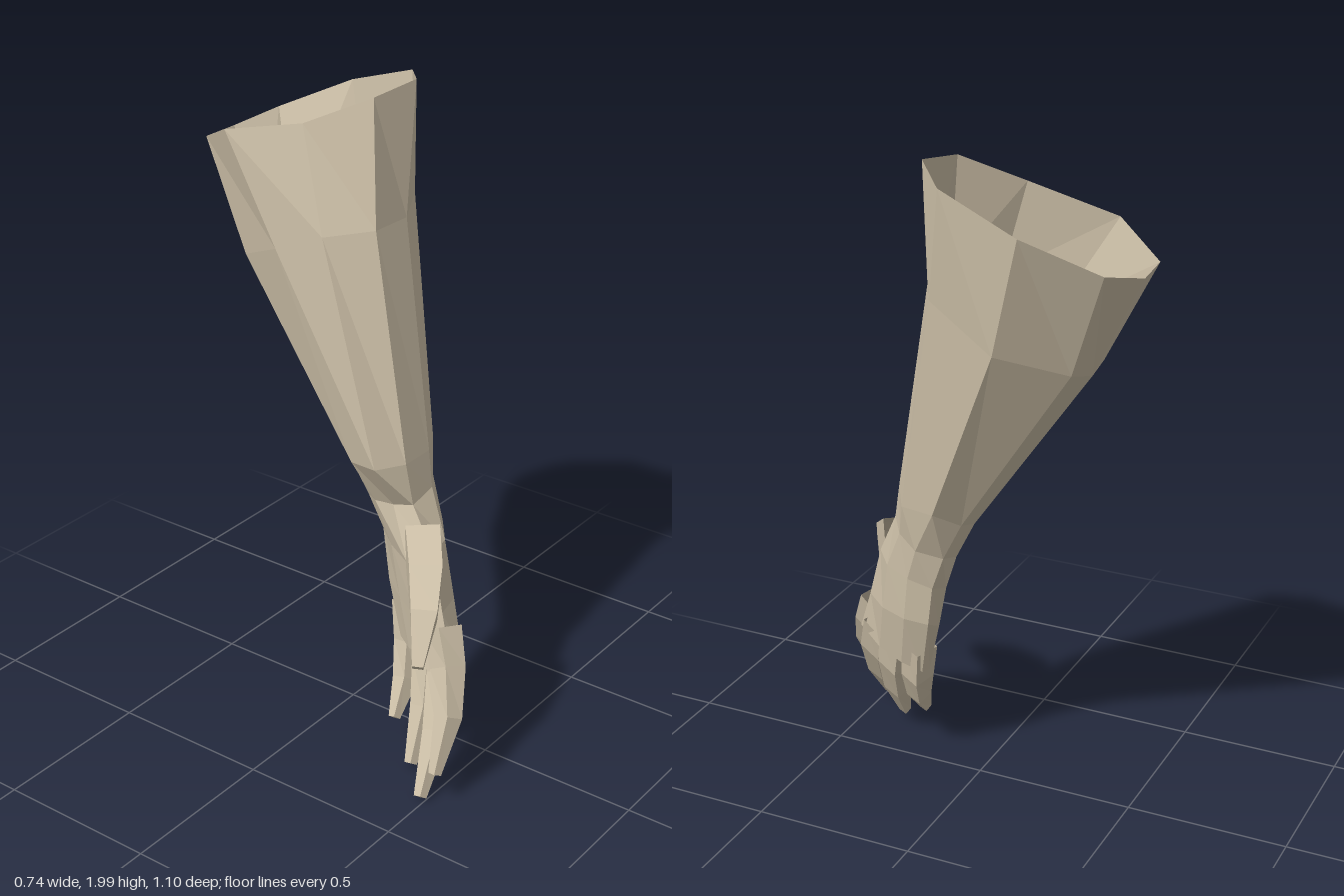
import * as THREE from 'three';

const skin = new THREE.MeshStandardMaterial({ color: 0xcdc0a8, flatShading: true, side: THREE.DoubleSide });
skin.name = 'skin';

// Skins a list of rings (each a list of [x, y, z]), optionally closing the last one
function loft(name, rings, closeEnd) {
  const n = rings[0].length, pos = [];
  for (let i = 0; i < rings.length - 1; i++) {
    for (let j = 0; j < n; j++) {
      const k = (j + 1) % n;
      const a = rings[i][j], b = rings[i][k], c = rings[i + 1][j], d = rings[i + 1][k];
      pos.push(...a, ...c, ...d, ...a, ...d, ...b);
    }
  }
  if (closeEnd) {
    const last = rings[rings.length - 1];
    const mid = [0, 1, 2].map(t => last.reduce((s, p) => s + p[t], 0) / n);
    for (let j = 0; j < n; j++) pos.push(...mid, ...last[(j + 1) % n], ...last[j]);
  }
  const geo = new THREE.BufferGeometry();
  geo.setAttribute('position', new THREE.Float32BufferAttribute(pos, 3));
  geo.computeVertexNormals();
  const mesh = new THREE.Mesh(geo, skin);
  mesh.name = name;
  return mesh;
}

// Tapered four-sided finger: path points, half widths and half depths at each point
function finger(name, path, widths, depths, axis) {
  const pts = path.map(p => new THREE.Vector3(...p));
  const rings = pts.map((p, i) => {
    const dir = pts[Math.min(i + 1, pts.length - 1)].clone().sub(pts[Math.max(i - 1, 0)]).normalize();
    const u = new THREE.Vector3(...axis).projectOnPlane(dir).normalize();
    const v = u.clone().cross(dir);
    return [[1, 1], [-1, 1], [-1, -1], [1, -1]].map(([s, t]) =>
      p.clone().addScaledVector(u, s * widths[i]).addScaledVector(v, t * depths[i]).toArray());
  });
  return loft(name, rings, true);
}

// Forearm rings from the open elbow end down to the cuff
const elbow = [[0, 1.98, 0.07], [0.16, 2, 0.1], [0.31, 1.97, -0.02], [0.37, 1.88, -0.28], [0.28, 1.78, -0.49],
  [0.14, 1.745, -0.55], [0, 1.75, -0.54], [-0.105, 1.83, -0.38], [-0.1, 1.9, -0.1]];
const midArm = [[-0.055, 1.62, 0.12], [0.085, 1.62, 0.125], [0.245, 1.63, 0.04], [0.31, 1.52, -0.18], [0.18, 1.45, -0.36],
  [0.075, 1.42, -0.38], [-0.035, 1.43, -0.37], [-0.13, 1.52, -0.18], [-0.145, 1.6, 0]];
const cuff = [[-0.095, 0.95, 0.26], [0.02, 0.95, 0.26], [0.14, 0.94, 0.19], [0.18, 0.95, 0.07], [0.11, 0.9, 0.01],
  [0.04, 0.88, 0], [-0.04, 0.89, 0.01], [-0.13, 0.92, 0.09], [-0.18, 0.95, 0.21]];

// Hand rings from the wrist to the knuckles
const wrist = [[-0.085, 0.82, 0.28], [0.01, 0.84, 0.28], [0.1, 0.83, 0.22], [0.135, 0.8, 0.15], [0.11, 0.78, 0.07],
  [0.04, 0.76, 0.06], [-0.03, 0.77, 0.08], [-0.08, 0.79, 0.14], [-0.1, 0.81, 0.22]];
const heel = [[-0.11, 0.7, 0.37], [-0.02, 0.7, 0.35], [0.07, 0.7, 0.28], [0.112, 0.69, 0.19], [0.105, 0.67, 0.11],
  [0.06, 0.66, 0.085], [-0.01, 0.66, 0.12], [-0.08, 0.66, 0.2], [-0.14, 0.66, 0.3]];
const palm = [[-0.13, 0.53, 0.42], [-0.04, 0.53, 0.4], [0.05, 0.54, 0.31], [0.1, 0.545, 0.21], [0.095, 0.54, 0.13],
  [0.05, 0.52, 0.115], [-0.02, 0.5, 0.15], [-0.09, 0.5, 0.24], [-0.16, 0.5, 0.35]];
const knuckles = [[-0.145, 0.4, 0.46], [-0.075, 0.39, 0.455], [0, 0.37, 0.35], [0.045, 0.36, 0.25], [0.04, 0.34, 0.18],
  [0, 0.33, 0.175], [-0.055, 0.34, 0.22], [-0.11, 0.35, 0.29], [-0.17, 0.39, 0.38]];

export function createModel() {
  const group = new THREE.Group();
  group.name = 'arm';
  group.add(loft('forearm', [elbow, midArm, cuff], false));
  group.add(loft('hand', [cuff, wrist, heel, palm, knuckles], true));

  // Four fingers curling towards the palm
  const across = [-0.4, 0, 0.9];
  const fingers = {
    indexFinger: [[-0.115, 0.47, 0.41], [-0.155, 0.37, 0.46], [-0.23, 0.26, 0.515], [-0.315, 0.115, 0.53]],
    middleFinger: [[-0.06, 0.42, 0.37], [-0.105, 0.31, 0.415], [-0.2, 0.17, 0.455], [-0.325, 0.022, 0.487]],
    ringFinger: [[-0.015, 0.42, 0.29], [-0.045, 0.3, 0.32], [-0.115, 0.17, 0.35], [-0.215, 0.03, 0.375]],
    littleFinger: [[0.02, 0.42, 0.2], [-0.005, 0.3, 0.22], [-0.06, 0.2, 0.243], [-0.14, 0.107, 0.26]],
  };
  for (const [name, path] of Object.entries(fingers)) {
    const s = name === 'littleFinger' ? 0.88 : 1;
    group.add(finger(name, path, [0.045, 0.04, 0.031, 0.014].map(w => w * s), [0.04, 0.036, 0.028, 0.013], across));
  }

  // Thumb
  group.add(finger('thumb', [[-0.08, 0.71, 0.31], [-0.17, 0.66, 0.385], [-0.26, 0.595, 0.445], [-0.355, 0.485, 0.492]],
    [0.075, 0.06, 0.045, 0.016], [0.05, 0.048, 0.038, 0.016], [-0.4, 1, 0.3]));
  return group;
}
